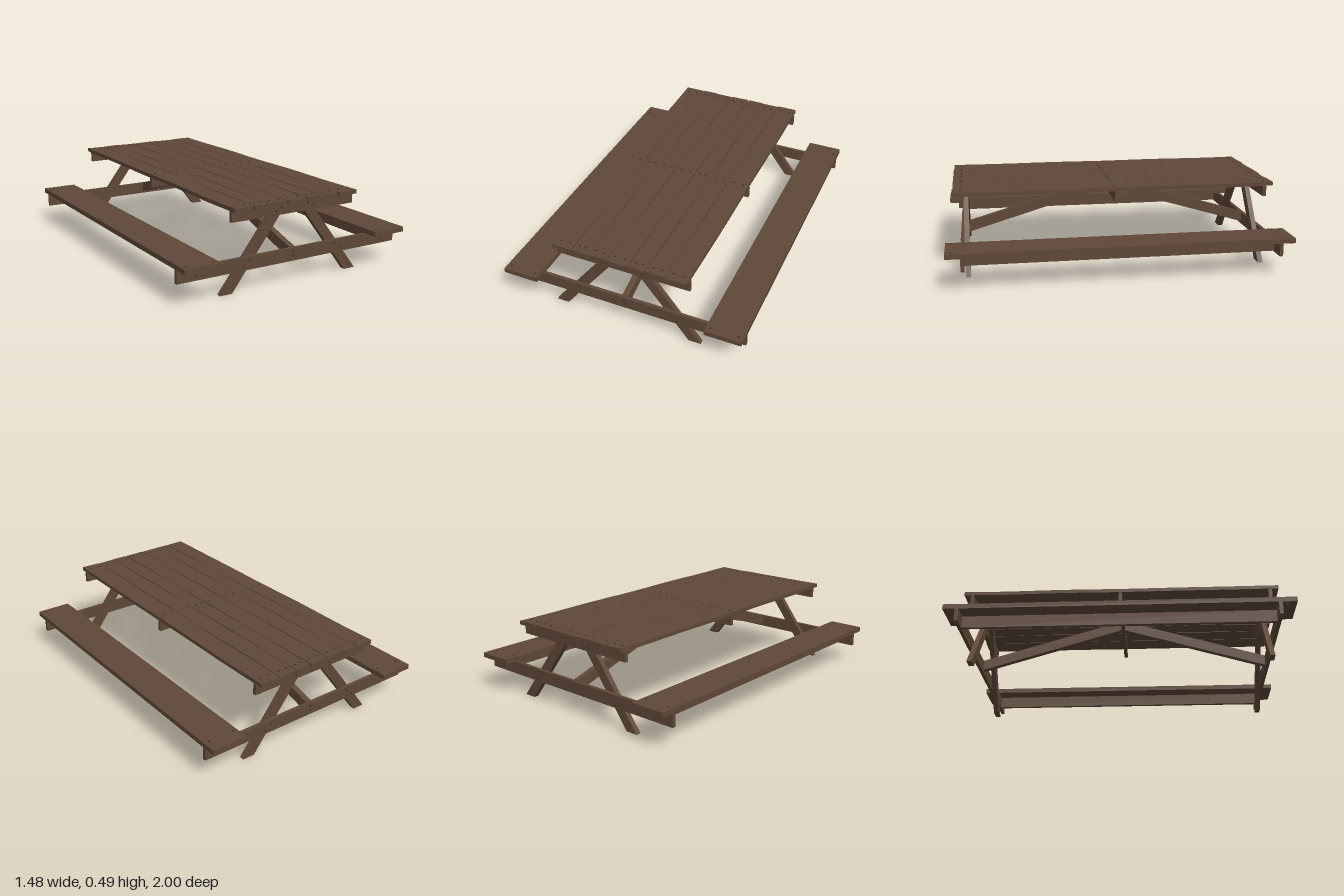
import * as THREE from 'three';

const wood = new THREE.MeshStandardMaterial({ color: 0x5f4838 });
wood.name = 'brown wood';
const iron = new THREE.MeshStandardMaterial({ color: 0x3a2c22 });
iron.name = 'dark screws';

export function createModel() {
  const model = new THREE.Group();
  model.name = 'picnicTable';
  // The frame and top sit very slightly behind the bench centre
  const frame = new THREE.Group();
  frame.name = 'frame';
  frame.position.z = -0.006;
  model.add(frame);

  const add = (name, geometry, parent = frame, material = wood) => {
    const mesh = new THREE.Mesh(geometry, material);
    mesh.name = name;
    parent.add(mesh);
    return mesh;
  };

  // Box given by its limits on each axis
  const board = (name, [x0, x1], [y0, y1], [z0, z1], parent) => {
    const mesh = add(name, new THREE.BoxGeometry(x1 - x0, y1 - y0, z1 - z0), parent);
    mesh.position.set((x0 + x1) / 2, (y0 + y1) / 2, (z0 + z1) / 2);
    return mesh;
  };

  // Flat slab cut from a polygon, extruded symmetrically about z = 0
  const slab = (points, thickness) => {
    const shape = new THREE.Shape(points.map(([x, y]) => new THREE.Vector2(x, y)));
    return new THREE.ExtrudeGeometry(shape, { depth: thickness, bevelEnabled: false })
      .translate(0, 0, -thickness / 2);
  };

  // Round screw heads: facing up, or facing along z
  const screwUp = new THREE.CylinderGeometry(0.005, 0.006, 0.004, 8);
  const screwZ = screwUp.clone().rotateX(Math.PI / 2);
  const screw = (x, y, z, facing = 0, parent = frame) => {
    const mesh = add('screw', facing ? screwZ : screwUp, parent, iron);
    mesh.position.set(x, y, z);
    if (facing < 0) mesh.rotation.y = Math.PI;
  };

  // Tabletop planks, slightly warped along their length
  const planks = [
    [-0.415, -0.297], [-0.293, -0.199], [-0.195, -0.077], [-0.072, 0.051],
    [0.056, 0.156], [0.161, 0.273], [0.278, 0.404],
  ];
  planks.forEach(([x0, x1], i) => {
    const length = 1.922 + 0.006 * Math.sin(i * 2.3);
    const geometry = new THREE.BoxGeometry(x1 - x0, 0.022, length, 2, 1, 16);
    const p = geometry.attributes.position;
    for (let k = 0; k < p.count; k++) {
      const z = p.getZ(k);
      p.setX(k, p.getX(k) + 0.0015 * Math.sin(z * 7 + i * 1.9));
      p.setY(k, p.getY(k) + 0.001 * Math.sin(z * 9 + i * 2.7 + p.getX(k) * 20));
    }
    geometry.computeVertexNormals();
    add('tabletopPlank', geometry).position.set((x0 + x1) / 2, 0.479, 0);
    for (const z of [-0.912, 0.012, 0.912]) {
      screw(x0 + 0.03, 0.491, z);
      screw(x1 - 0.03, 0.491, z);
    }
  });

  // Middle batten under the tabletop
  board('middleBatten', [-0.41, 0.408], [0.405, 0.468], [-0.011, 0.011]);

  for (const end of [1, -1]) {
    const span = (a, b) => (end > 0 ? [a, b] : [-b, -a]);

    // End frame: top batten, long cross beam and splayed legs
    board('topBatten', [-0.41, 0.408], [0.405, 0.468], span(0.901, 0.922));
    board('crossBeam', [-0.742, 0.739], [0.126, 0.201], span(0.901, 0.922));
    for (const side of [1, -1]) {
      const leg = slab([[0.39, 0], [0.465, 0], [0.107, 0.466], [0.032, 0.466]]
        .map(([x, y]) => [x * side, y]), 0.03);
      add('leg', leg).position.z = end * 0.886;
      const bolts = [[0.63, 0.155], [0.63, 0.18], [0.33, 0.146], [0.29, 0.18],
        [0.122, 0.428], [0.088, 0.446]];
      bolts.forEach(([x, y]) => screw(x * side, y, end * 0.923, end));
    }
    screw(0, 0.155, end * 0.923, end);
    screw(0, 0.18, end * 0.923, end);

    // Diagonal brace from the cross beam up to the middle batten
    const brace = slab([[0.901, 0.14], [0.901, 0.205], [0.011, 0.468], [0.011, 0.405]]
      .map(([z, y]) => [z * end, y]), 0.036).rotateY(-Math.PI / 2);
    add('brace', brace);
  }

  // Benches: wide seat with a stiffening rail below its centre line
  for (const side of [1, -1]) {
    const bench = new THREE.Group();
    bench.name = side > 0 ? 'leftBench' : 'rightBench';
    model.add(bench);
    const span = (a, b) => (side > 0 ? [a, b] : [-b, -a]);
    board('seat', span(0.522, 0.74), [0.202, 0.231], [-1, 1], bench);
    board('seatRail', span(0.619, 0.641), [0.13, 0.202], [-0.907, 0.895], bench);
    for (const x of [0.55, 0.71]) {
      screw(x * side, 0.232, -0.92, 0, bench);
      screw(x * side, 0.232, 0.965, 0, bench);
    }
  }
  return model;
}
